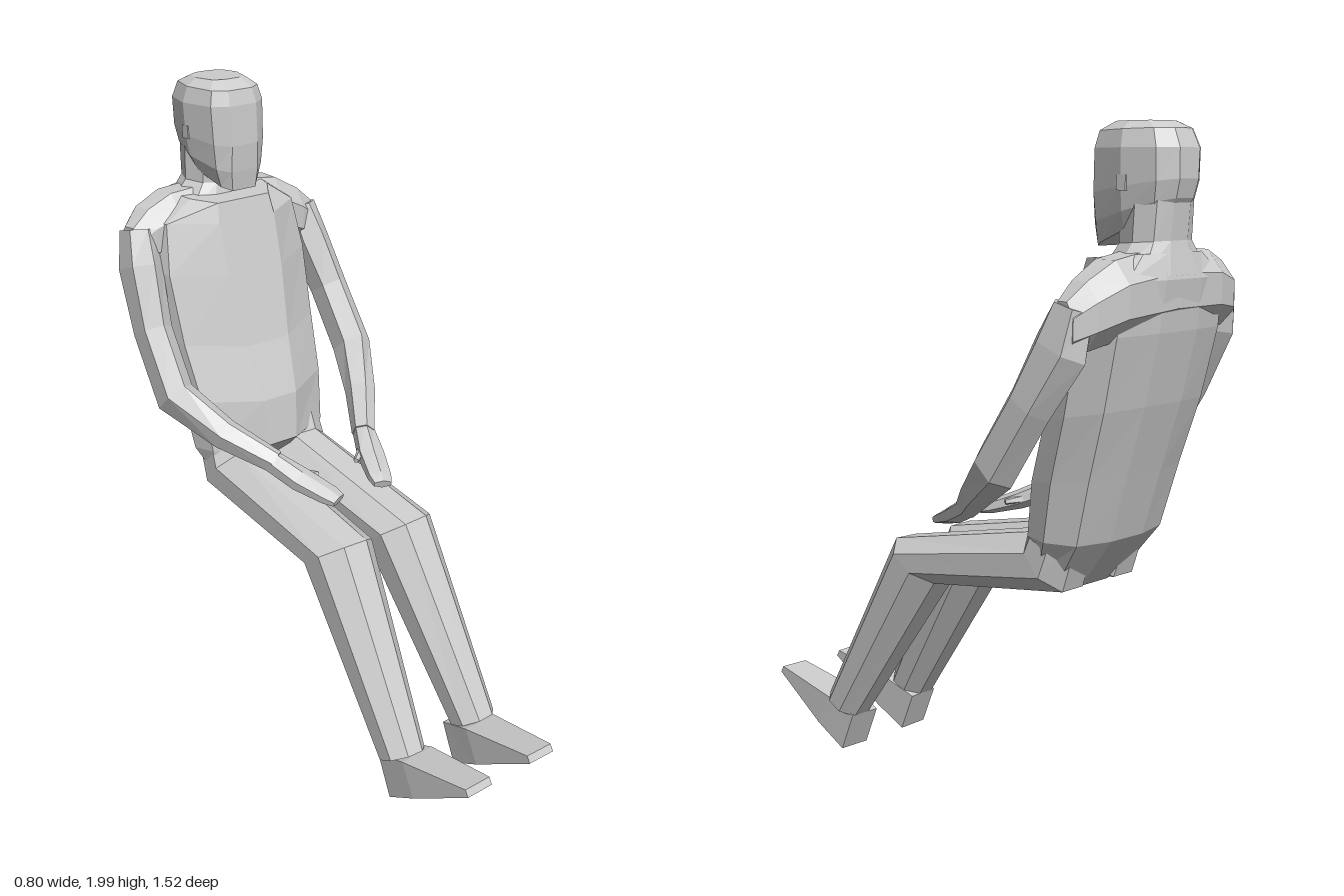
import * as THREE from 'three';

const V = (x, y, z) => new THREE.Vector3(x, y, z);
const MID = -0.015; // body centre line

const material = new THREE.MeshStandardMaterial({ color: 0xcccccc, flatShading: true });

// Skin a list of equal-length rings (counter-clockwise about the path) and cap both ends
function loft(name, rings) {
  const pos = [];
  const tri = (...pts) => pts.forEach(p => pos.push(p.x, p.y, p.z));
  const n = rings[0].length;
  for (let r = 0; r < rings.length - 1; r++) {
    const a = rings[r], b = rings[r + 1];
    for (let i = 0; i < n; i++) {
      const j = (i + 1) % n;
      tri(a[i], a[j], b[j]);
      tri(a[i], b[j], b[i]);
    }
  }
  const first = rings[0], last = rings[rings.length - 1];
  const centre = ring => ring.reduce((s, p) => s.add(p), V(0, 0, 0)).divideScalar(n);
  const c0 = centre(first), c1 = centre(last);
  for (let i = 0; i < n; i++) {
    const j = (i + 1) % n;
    tri(c0, first[j], first[i]);
    tri(c1, last[i], last[j]);
  }
  const geo = new THREE.BufferGeometry();
  geo.setAttribute('position', new THREE.Float32BufferAttribute(pos, 3));
  geo.computeVertexNormals();
  const mesh = new THREE.Mesh(geo, material);
  mesh.name = name;
  return mesh;
}

// Limb along a path; row = [x, y, z, half width, half thickness, optional section tilt]
function limb(name, rows, sides, side, offset = 0) {
  const pts = rows.map(r => V(offset + side * r[0], r[1], r[2]));
  const k = 1 / Math.cos(Math.PI / sides);
  return loft(name, rows.map((r, i) => {
    const t = V(0, 0, 0);
    if (i > 0) t.add(pts[i].clone().sub(pts[i - 1]).normalize());
    if (i < pts.length - 1) t.add(pts[i + 1].clone().sub(pts[i]).normalize());
    t.normalize();
    const v = r[5] === undefined
      ? t.clone().cross(V(1, 0, 0)).normalize()
      : V(0, Math.cos(r[5]), Math.sin(r[5]));
    const u = v.clone().cross(t).normalize();
    return Array.from({ length: sides }, (_, s) => {
      const a = (s + 0.5) * 2 * Math.PI / sides;
      return pts[i].clone()
        .addScaledVector(u, Math.cos(a) * r[3] * k)
        .addScaledVector(v, Math.sin(a) * r[4] * k);
    });
  }));
}

// Upright body; row = [back y, back z, front y, front z, half width, front panel fraction]
function body(name, rows, sideOutline) {
  const lerp = THREE.MathUtils.lerp;
  return loft(name, rows.map(([yb, zb, yf, zf, w, panel]) => {
    const half = [[panel, 1], ...sideOutline];
    const outline = [...half, ...half.map(([u, v]) => [-u, v]).reverse()];
    return outline.map(([u, v]) => V(MID + u * w, lerp(yb, yf, v), lerp(zb, zf, v)));
  }));
}

export function createModel() {
  const model = new THREE.Group();
  model.name = 'seatedFigure';

  const torsoOutline = [[0.92, 0.68], [1, 0.4], [0.8, 0.1], [0.3, 0]];
  const headOutline = [[0.78, 0.88], [1, 0.48], [0.8, 0.13], [0.35, 0]];

  model.add(body('torso', [
    [0.71, -0.46, 0.85, -0.34, 0.19, 0.25],
    [0.86, -0.575, 0.88, -0.31, 0.235, 0.22],
    [1.05, -0.63, 1.03, -0.325, 0.252, 0.25],
    [1.25, -0.69, 1.2, -0.385, 0.27, 0.3],
    [1.45, -0.735, 1.42, -0.44, 0.28, 0.36],
    [1.59, -0.75, 1.58, -0.48, 0.26, 0.4],
    [1.66, -0.735, 1.64, -0.495, 0.16, 0.6],
  ], torsoOutline));

  model.add(body('neck', [
    [1.6, -0.75, 1.6, -0.55, 0.18, 0.4],
    [1.69, -0.73, 1.68, -0.575, 0.105, 0.4],
    [1.82, -0.74, 1.8, -0.57, 0.1, 0.4],
  ], headOutline));

  model.add(body('head', [
    [1.76, -0.72, 1.67, -0.49, 0.085, 0.5],
    [1.8, -0.745, 1.73, -0.483, 0.108, 0.45],
    [1.85, -0.758, 1.81, -0.478, 0.118, 0.4],
    [1.93, -0.757, 1.93, -0.483, 0.122, 0.4],
    [1.98, -0.735, 1.975, -0.495, 0.108, 0.4],
    [2.0, -0.69, 2.0, -0.54, 0.075, 0.4],
  ], headOutline));

  for (const side of [1, -1]) {
    const tag = side > 0 ? 'left' : 'right';
    const lift = side > 0 ? 0 : 0.03; // right shoulder sits a little higher

    model.add(limb(tag + 'Shoulder', [
      [0, 1.56, -0.65, 0.095, 0.115, 0],
      [0.2, 1.54 + lift / 2, -0.655, 0.085, 0.105, 0],
      [0.29, 1.505 + lift, -0.645, 0.07, 0.09, 0],
      [0.345, 1.475 + lift, -0.635, 0.045, 0.07, 0],
    ], 8, side));

    model.add(limb(tag + 'Arm', [
      [0.31, 1.53 + lift, -0.645, 0.045, 0.055],
      [0.325, 1.42 + lift, -0.615, 0.052, 0.076],
      [0.345, 1.27, -0.53, 0.048, 0.063],
      [0.35, 1.09, -0.413, 0.05, 0.064],
      [0.27, 0.99, -0.27, 0.042, 0.044],
      [0.175, 0.915, -0.14, 0.032, 0.032],
    ], 6, side));

    model.add(limb(tag + 'Hand', [
      [0.185, 0.92, -0.155, 0.03, 0.03],
      [0.14, 0.875, -0.06, 0.04, 0.026],
      [0.1, 0.843, 0.03, 0.036, 0.018],
      [0.088, 0.833, 0.06, 0.028, 0.012],
    ], 6, side));

    model.add(limb(tag + 'Thumb', [
      [0.165, 0.895, -0.12, 0.014, 0.012],
      [0.115, 0.88, -0.08, 0.012, 0.011],
      [0.075, 0.875, -0.055, 0.007, 0.007],
    ], 5, side));

    model.add(limb(tag + 'Leg', [
      [0.12, 0.93, -0.46, 0.09, 0.08],
      [0.113, 0.79, -0.41, 0.105, 0.1],
      [0.12, 0.7, 0.115, 0.102, 0.1, 0.956],
      [0.145, 0.16, 0.45, 0.066, 0.066, 1.107],
    ], 8, side, MID));

    // Wedge-shaped shoe
    model.add(limb(tag + 'Foot', [
      [0.133, 0.074, 0.413, 0.052, 0.068, -0.4],
      [0.13, 0.125, 0.525, 0.06, 0.057, -0.46],
      [0.125, 0.207, 0.758, 0.048, 0.012, -0.5],
    ], 4, side, MID));

    // Small folded ear
    const ear = new THREE.Mesh(new THREE.BoxGeometry(0.012, 0.04, 0.03), material);
    ear.name = tag + 'Ear';
    ear.position.set(MID + side * 0.113, 1.84, -0.625);
    model.add(ear);
  }
  return model;
}
